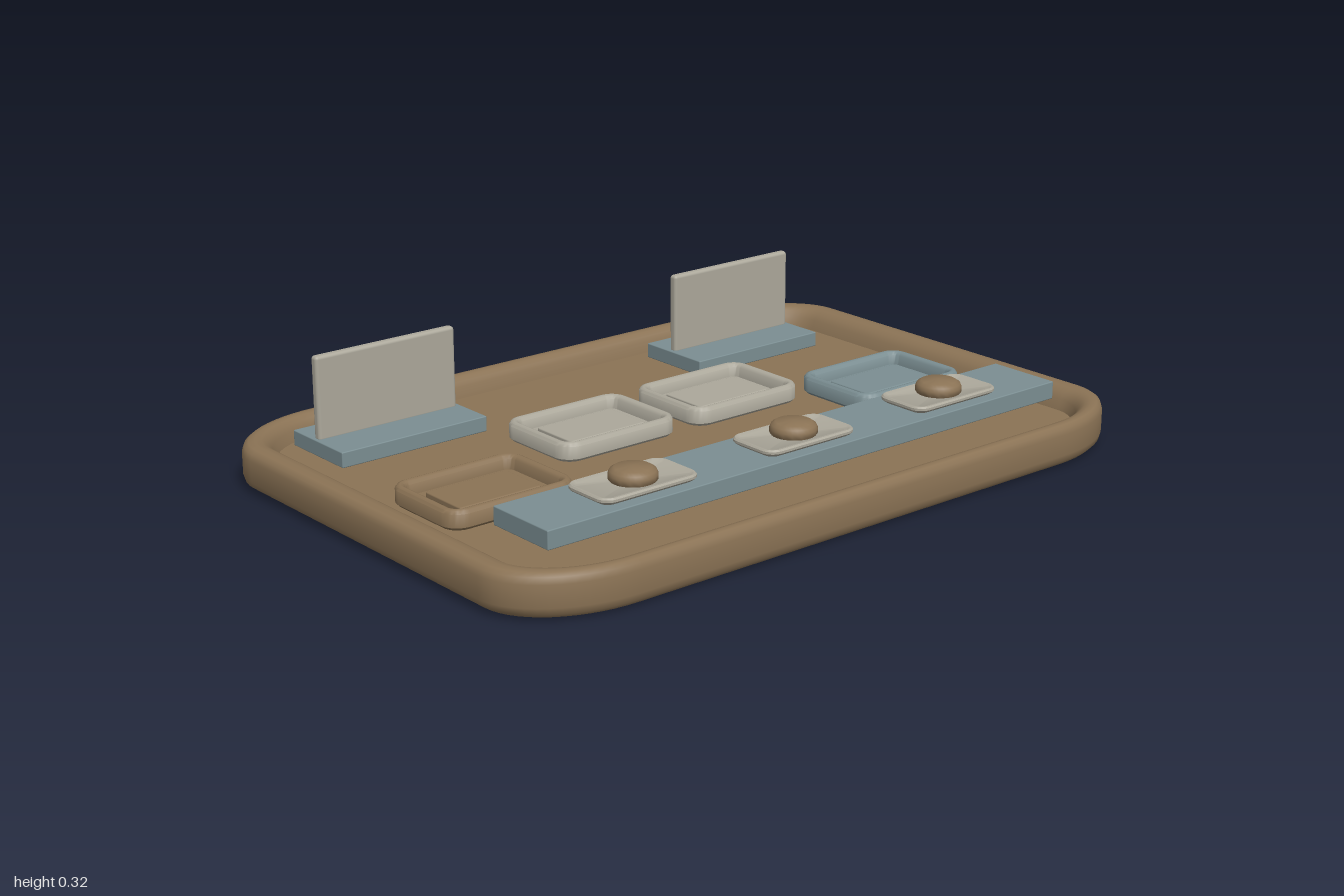
import * as THREE from 'three';
import { toCreasedNormals } from 'three/addons/utils/BufferGeometryUtils.js';
import { RoundedBoxGeometry } from 'three/addons/geometries/RoundedBoxGeometry.js';

const mat = (name, color) => {
  const m = new THREE.MeshStandardMaterial({ color });
  m.name = name;
  return m;
};

// Closed rounded-rectangle solid: profile is a list of [inset, height], bottom to top, capped at both ends.
function roundedDish(halfX, halfZ, radius, profile, steps = 10) {
  const rows = [[null, profile[0][1]], ...profile, [null, profile[profile.length - 1][1]]];
  const n = steps * 4 + 4, pos = [], index = [];
  for (const [d, y] of rows) {
    for (let c = 0; c < 4; c++) {
      for (let k = 0; k <= steps; k++) {
        if (d === null) { pos.push(0, y, 0); continue; }
        const a = (c + k / steps) * Math.PI / 2;
        const r = Math.max(radius - d, 0.008);
        const sx = c === 0 || c === 3 ? 1 : -1, sz = c < 2 ? 1 : -1;
        pos.push(sx * (halfX - d - r) + r * Math.cos(a), y, sz * (halfZ - d - r) + r * Math.sin(a));
      }
    }
  }
  // The first and last bands are fans around a centre point
  for (let j = 0; j < rows.length - 1; j++) {
    for (let i = 0; i < n; i++) {
      const a = j * n + i, b = j * n + (i + 1) % n, c = a + n, d = b + n;
      if (j > 0) index.push(a, c, b);
      if (j < rows.length - 2) index.push(b, c, d);
    }
  }
  const g = new THREE.BufferGeometry();
  g.setAttribute('position', new THREE.Float32BufferAttribute(pos, 3));
  g.setIndex(index);
  return g;
}

const CREASE = 0.75;

export function createModel() {
  const model = new THREE.Group();
  model.name = 'trayOrganiser';
  const brown = mat('warm brown', 0x8b7355);
  const blue = mat('slate blue', 0x7b8e92);
  const grey = mat('stone grey', 0xaca89b);

  const add = (parent, name, geometry, material, x = 0, y = 0, z = 0) => {
    const m = new THREE.Mesh(geometry, material);
    m.name = name;
    m.position.set(x, y, z);
    parent.add(m);
    return m;
  };
  const FLOOR = 0.06;

  // Main tray with a rolled rim: elliptical corners, rim narrower at front and back
  const trayGeometry = roundedDish(1, 1, 0.3, [
    [0.045, 0], [0.02, 0.007], [0.005, 0.018], [0, 0.034], [0, 0.09], [0.006, 0.106],
    [0.018, 0.114], [0.036, 0.116], [0.054, 0.113], [0.07, 0.104], [0.083, 0.088], [0.094, FLOOR],
  ], 14).scale(1, 1, 0.69);
  add(model, 'mainTray', toCreasedNormals(trayGeometry, CREASE), brown);

  // Four shallow dishes, each with a raised slab in the middle
  const dishGeometry = toCreasedNormals(roundedDish(0.187, 0.138, 0.05, [
    [0.008, 0], [0, 0.008], [0, 0.042], [0.005, 0.049], [0.013, 0.052],
    [0.021, 0.049], [0.027, 0.042], [0.03, 0.016],
  ]), CREASE);
  const slabGeometry = new RoundedBoxGeometry(0.24, 0.016, 0.145, 2, 0.004);
  [[-0.67, 0.05, brown], [-0.18, -0.155, grey], [0.252, -0.155, grey], [0.668, 0.05, blue]]
    .forEach(([x, z, material], i) => {
      const dish = new THREE.Group();
      dish.name = 'dish' + (i + 1);
      dish.position.set(x, FLOOR, z);
      add(dish, 'dishBowl', dishGeometry, material);
      add(dish, 'dishSlab', slabGeometry, material, 0, 0.023, 0);
      model.add(dish);
    });

  // Front rail with three pads and knobs
  add(model, 'frontRail', new RoundedBoxGeometry(1.67, 0.048, 0.207, 2, 0.003), blue, 0, 0.142, 0.422);
  const padGeometry = toCreasedNormals(roundedDish(0.146, 0.08, 0.035, [
    [0.012, 0], [0.004, 0.005], [0, 0.009], [0, 0.015], [0.004, 0.019],
    [0.01, 0.019], [0.015, 0.015],
  ]), CREASE);
  const knobGeometry = toCreasedNormals(new THREE.LatheGeometry([
    [0, 0], [0.054, 0], [0.06, 0.008], [0.06, 0.019], [0.056, 0.028], [0.045, 0.035], [0, 0.038],
  ].map(([x, y]) => new THREE.Vector2(x, y)), 32), CREASE);
  [-0.507, 0, 0.507].forEach((x, i) => {
    const control = new THREE.Group();
    control.name = 'control' + (i + 1);
    control.position.set(x, 0.166, 0.422);
    add(control, 'pad', padGeometry, grey);
    add(control, 'knob', knobGeometry, brown, 0, 0.012, 0);
    model.add(control);
  });

  // Upright cards on low plinths at the back
  for (const [side, s] of [['left', 1], ['right', -1]]) {
    add(model, side + 'Plinth', new RoundedBoxGeometry(0.444, 0.042, 0.23, 2, 0.003), blue,
      s * 0.587, FLOOR + 0.021, -0.475);
    add(model, side + 'Card', new RoundedBoxGeometry(0.424, 0.226, 0.026, 3, 0.009), grey,
      s * 0.588, 0.208, -0.492);
  }
  return model;
}
